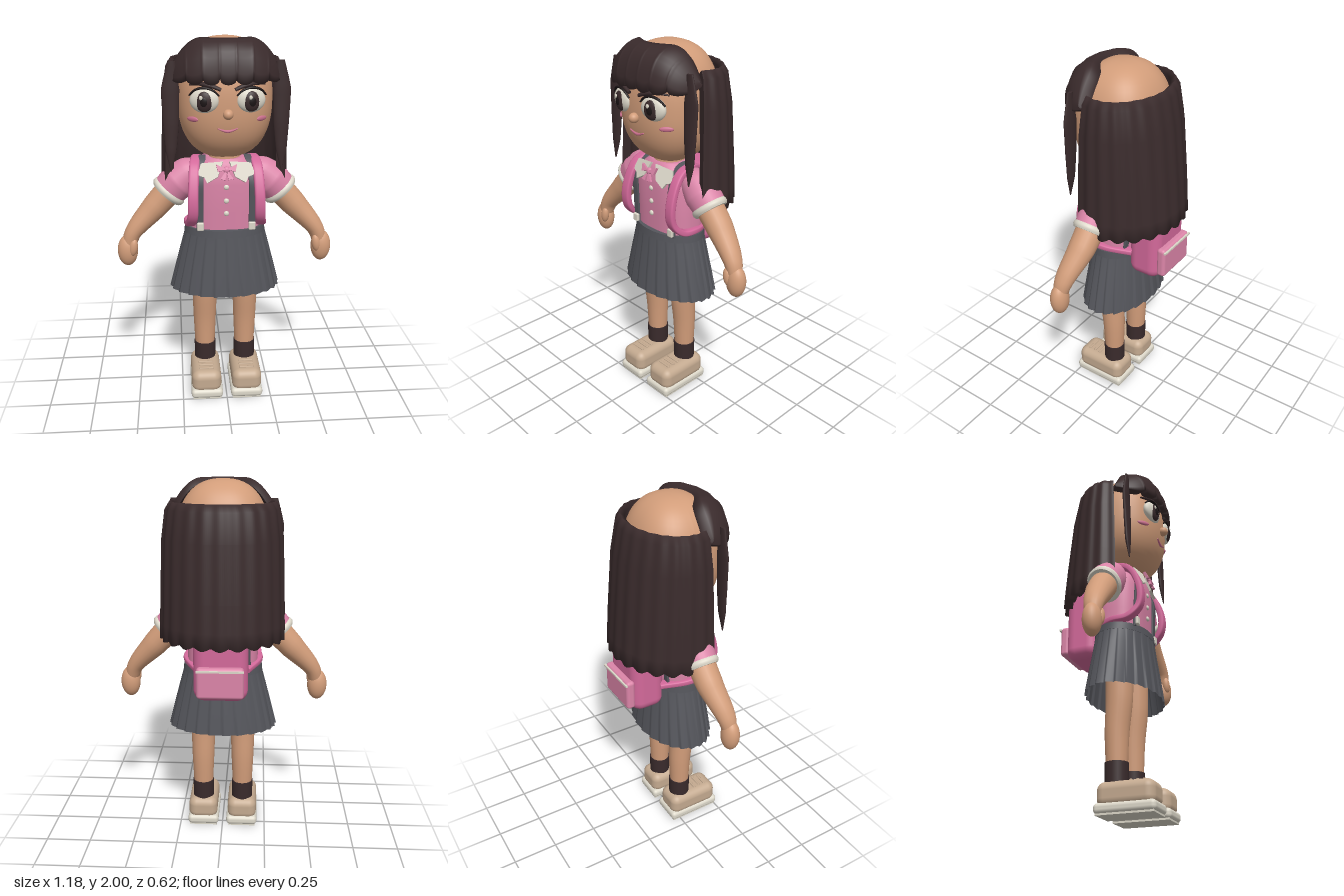
import * as THREE from 'three';
import { RoundedBoxGeometry } from 'three/addons/geometries/RoundedBoxGeometry.js';

const mat = (name, color, side = THREE.FrontSide) => {
  const m = new THREE.MeshStandardMaterial({ color, side });
  m.name = name;
  return m;
};
const lerp = THREE.MathUtils.lerp;
const spow = (v, p) => Math.sign(v) * Math.abs(v) ** p;

// Skin a list of closed rings; caps are separate so their edges stay sharp
function loft(rings, caps = true) {
  const n = rings[0].length, pos = rings.flat(2), idx = [];
  for (let i = 0; i < rings.length - 1; i++) for (let j = 0; j < n; j++) {
    const a = i * n + j, b = i * n + (j + 1) % n;
    idx.push(a, b, a + n, b, b + n, a + n);
  }
  if (caps) [rings[0], rings[rings.length - 1]].forEach((r, k) => {
    const o = pos.length / 3;
    pos.push(...r.flat(), ...[0, 1, 2].map(c => r.reduce((s, p) => s + p[c], 0) / n));
    for (let j = 0; j < n; j++) {
      const q = (j + 1) % n;
      idx.push(o + n, o + (k ? j : q), o + (k ? q : j));
    }
  });
  // turn the faces outwards
  const P = i => new THREE.Vector3().fromArray(pos, i * 3);
  let vol = 0;
  const mid = P(0).lerp(P(rings.length * n - 1), 0.5);
  for (let i = 0; i < idx.length; i += 3)
    vol += P(idx[i]).sub(mid).dot(P(idx[i + 1]).sub(mid).cross(P(idx[i + 2]).sub(mid)));
  if (vol < 0) idx.reverse();
  const g = new THREE.BufferGeometry();
  g.setAttribute('position', new THREE.Float32BufferAttribute(pos, 3));
  g.setIndex(idx);
  g.computeVertexNormals();
  return g;
}

// Sweep an oval (or boxy, with higher e) section along a curve; sizes are half width and half depth
function sweep(pts, sizes, { ref = [1, 0, 0], seg = 24, n = 20, e = 2 } = {}) {
  const curve = new THREE.CatmullRomCurve3(pts.map(p => new THREE.Vector3(...p)));
  const rings = [];
  for (let i = 0; i <= seg; i++) {
    const t = i / seg, f = t * (sizes.length - 1), k = Math.min(Math.floor(f), sizes.length - 2);
    const [w, d] = [0, 1].map(c => sizes.length < 2 ? sizes[0][c] : lerp(sizes[k][c], sizes[k + 1][c], f - k));
    const p = curve.getPoint(t), T = curve.getTangent(t), S = new THREE.Vector3(...ref);
    S.addScaledVector(T, -S.dot(T)).normalize();
    const N = T.clone().cross(S);
    rings.push(Array.from({ length: n }, (_, j) => {
      const a = j / n * Math.PI * 2;
      return p.clone().addScaledVector(S, w * spow(Math.cos(a), 2 / e)).addScaledVector(N, d * spow(Math.sin(a), 2 / e)).toArray();
    }));
  }
  return loft(rings);
}

// Head: a slightly squared ellipsoid
const HEAD = { y: 1.69, z: 0.04, rx: 0.245, ry: 0.31, rz: 0.23, e: 2.4 };
const headZ = (x, y) => HEAD.z + HEAD.rz *
  Math.max(0, 1 - Math.abs(x / HEAD.rx) ** HEAD.e - Math.abs((y - HEAD.y) / HEAD.ry) ** HEAD.e) ** (1 / HEAD.e);
function headGeometry() {
  const g = new THREE.SphereGeometry(1, 48, 36), p = g.attributes.position;
  for (let i = 0; i < p.count; i++) {
    const v = [p.getX(i), p.getY(i), p.getZ(i)];
    const k = v.reduce((s, c) => s + Math.abs(c) ** HEAD.e, 0) ** (-1 / HEAD.e);
    p.setXYZ(i, v[0] * k * HEAD.rx, v[1] * k * HEAD.ry + HEAD.y, v[2] * k * HEAD.rz + HEAD.z);
  }
  g.computeVertexNormals();
  return g;
}

// Fringe: curved sections from one temple to the other, with a toothed lower edge
function fringeGeometry() {
  const rings = [], N = 98, V = 8;
  for (let i = 0; i <= N; i++) {
    const u = i / N * 2 - 1, m = Math.abs(u), x = 0.285 * u;
    const topY = 2 - 0.16 * Math.max(0, (m - 0.4) / 0.6) ** 2;
    const topZ = 0.17 - 0.07 * Math.sin(Math.min(1, m / 0.75) * Math.PI / 2) ** 2;
    const lowZ = 0.1 + 0.195 * (1 - m ** 3) ** 0.6;
    const lowY = 1.79 + 0.03 * (1 - Math.abs(Math.cos(u * Math.PI * 3.5)) ** 0.4);
    const bez = (a, b, c, t) => a * (1 - t) ** 2 + 2 * b * t * (1 - t) + c * t * t;
    const outer = [], inner = [];
    for (let j = 0; j <= V; j++) {
      const t = j / V, y = bez(topY, topY - 0.01, lowY, t), z = bez(topZ, lowZ - 0.01, lowZ, t);
      outer.push([x, y, z]);
      inner.unshift([x * 0.92, y - 0.03 * (1 - t), z - 0.04]);
    }
    rings.push([...outer, ...inner]);
  }
  return loft(rings);
}

// Long hair: a wavy horseshoe wall with a scalloped hem
function backHairGeometry() {
  const profile = [[1.89, 0.275, 0.195], [1.85, 0.3, 0.22], [1.7, 0.32, 0.25], [1.4, 0.332, 0.28], [1.25, 0.338, 0.292], [1.16, 0.34, 0.298]];
  const rings = [], N = 120, A = 1.95;
  for (let i = 0; i <= N; i++) {
    const a = (i / N * 2 - 1) * A, hem = 0.018 * (1 - Math.abs(Math.cos(i / N * Math.PI * 14)));
    const at = ([y, rx, rz], k, low) => [rx * k * Math.sin(a), y + low, -rz * k * Math.cos(a)];
    const outer = profile.map((p, j) => at(p, 1 + 0.012 * Math.cos(i / N * Math.PI * 28), j === 5 ? hem : 0));
    const inner = [[1.16, 0.3, 0.25], [1.5, 0.285, 0.22], [1.87, 0.25, 0.17]].map((p, j) => at(p, 1, j ? 0 : hem));
    rings.push([...outer, ...inner]);
  }
  return loft(rings);
}

// Stacked squared ovals: [y, rx, rz]
const stack = (rows, e, n = 48) => loft(rows.map(([y, rx, rz]) => Array.from({ length: n }, (_, j) => {
  const a = j / n * Math.PI * 2;
  return [rx * spow(Math.cos(a), 2 / e), y, 0.04 + rz * spow(Math.sin(a), 2 / e)];
})));

// Pleated skirt, open below; folds deepen towards the hem
function skirtGeometry() {
  const rows = [[1.0, 0.215, 0.15], [0.96, 0.22, 0.155], [0.88, 0.24, 0.163], [0.75, 0.272, 0.18], [0.63, 0.3, 0.193]];
  const n = 192;
  return loft(rows.map(([y, rx, rz], i) => Array.from({ length: n }, (_, j) => {
    const a = j / n * Math.PI * 2, saw = (j % 8) / 7 - 0.5, k = 1 + 0.013 * i * saw;
    return [rx * k * Math.cos(a), y, 0.04 + rz * k * Math.sin(a)];
  })), false);
}

export function createModel() {
  const root = new THREE.Group();
  const skin = mat('skin', 0xd29d7a), hair = mat('dark brown hair', 0x3a2b2c), shirt = mat('shirt pink', 0xdb85a8);
  const bag = mat('bag pink', 0xd3699a), grey = mat('skirt grey', 0x55565c, THREE.DoubleSide), cream = mat('cream', 0xddd8ca);
  const shoe = mat('shoe beige', 0xc4aa90), black = mat('pupil black', 0x1c1516), lip = mat('lip pink', 0xc96f8c);
  const add = (name, geo, m, p = [0, 0, 0], parent = root) => {
    const o = new THREE.Mesh(geo, m);
    o.name = name;
    o.position.set(...p);
    parent.add(o);
    return o;
  };
  const ball = (name, m, p, r, parent) => {
    const o = add(name, new THREE.SphereGeometry(1, 28, 20), m, p, parent);
    o.scale.set(...r);
    return o;
  };
  const plate = (pts, depth) => new THREE.ExtrudeGeometry(new THREE.Shape(pts.map(p => new THREE.Vector2(...p))), { depth, bevelEnabled: false });

  // Head and hair
  add('head', headGeometry(), skin);
  add('neck', new THREE.CylinderGeometry(0.08, 0.09, 0.14, 24), skin, [0, 1.38, 0.04]);
  add('fringe', fringeGeometry(), hair);
  add('backHair', backHairGeometry(), hair);
  ball('nose', skin, [0, 1.645, 0.28], [0.026, 0.026, 0.028]);
  add('mouth', sweep([-0.05, -0.025, 0, 0.025, 0.05].map((x, i) => {
    const y = [1.572, 1.562, 1.557, 1.562, 1.572][i];
    return [x, y, headZ(x, y) + 0.004];
  }), [[0.003, 0.004], [0.008, 0.007], [0.003, 0.004]], { ref: [0, 1, 0], n: 10 }), lip);

  // Body and clothes
  add('shirtBody', stack([[0.96, 0.195, 0.125], [1.1, 0.195, 0.13], [1.25, 0.195, 0.135], [1.32, 0.175, 0.125], [1.36, 0.13, 0.11], [1.38, 0.1, 0.09]], 2.6), shirt);
  add('skirt', skirtGeometry(), grey);
  add('waistband', stack([[0.96, 0.222, 0.157], [1.0, 0.218, 0.153]], 2), grey);
  [1.24, 1.165, 1.095].forEach(y => ball('button', cream, [0, y, 0.174], [0.014, 0.014, 0.009]));

  // Ribbon between the collar flaps
  const ribbon = new THREE.Group();
  ribbon.name = 'neckRibbon';
  ribbon.position.set(0, 1.335, 0.175);
  ribbon.rotation.x = -0.4;
  root.add(ribbon);
  ball('ribbonKnot', shirt, [0, 0, 0.012], [0.018, 0.018, 0.012], ribbon);

  // Backpack
  add('backpackBody', new RoundedBoxGeometry(0.29, 0.46, 0.19, 5, 0.06), bag, [0, 1.095, -0.17]);
  add('backpackPocket', new RoundedBoxGeometry(0.25, 0.17, 0.05, 4, 0.018), shirt, [0, 0.985, -0.275]);
  add('pocketZip', new THREE.BoxGeometry(0.25, 0.01, 0.012), cream, [0, 1.055, -0.302]);

  for (const s of [1, -1]) {
    const m = pts => pts.map(([x, y, z]) => [x * s, y, z]);
    // Side lock
    add('sideLock', sweep(m([[0.27, 1.89, 0.16], [0.28, 1.75, 0.16], [0.28, 1.58, 0.165], [0.283, 1.44, 0.17], [0.285, 1.335, 0.178]]),
      [[0.02, 0.008], [0.046, 0.014], [0.04, 0.015], [0.028, 0.013], [0.003, 0.003]]), hair);

    // Eye
    const eye = new THREE.Group();
    eye.name = 'eye';
    eye.position.set(s * 0.115, 1.71, 0.25);
    eye.rotation.y = s * 0.2;
    root.add(eye);
    ball('eyeWhite', cream, [0, 0, 0], [0.073, 0.061, 0.032], eye);
    ball('iris', hair, [-s * 0.002, -0.003, 0.016], [0.044, 0.051, 0.02], eye);
    ball('pupil', black, [-s * 0.002, -0.003, 0.024], [0.026, 0.032, 0.014], eye);
    ball('eyeHighlight', cream, [-0.012, 0.018, 0.034], [0.009, 0.011, 0.005], eye);
    add('upperLash', sweep([[-0.074, 0.025, 0.006], [-0.045, 0.052, 0.014], [0, 0.064, 0.016], [0.045, 0.052, 0.014], [0.074, 0.025, 0.006]],
      [[0.004, 0.006], [0.007, 0.009], [0.004, 0.006]], { ref: [0, 1, 0], n: 10 }), black, [0, 0, 0], eye);
    add('eyebrow', sweep([[0.035, 1.765], [0.08, 1.782], [0.13, 1.79], [0.185, 1.782]].map(([x, y]) => [s * x, y, headZ(x, y) + 0.008]),
      [[0.009, 0.01], [0.012, 0.012], [0.004, 0.006]], { ref: [0, 1, 0], n: 10 }), hair);
    const cheek = ball('cheek', lip, [s * 0.172, 1.613, headZ(0.172, 1.613) + 0.002], [0.036, 0.013, 0.008]);
    cheek.rotation.y = s * 0.75;

    // Collar flap and ribbon loop
    const flap = add('collarFlap', plate([[0.015, 0.045], [0.13, 0.04], [0.15, -0.02], [0.115, -0.035], [0.1, -0.065], [0.045, -0.035]].map(([x, y]) => [x * s, y]), 0.014),
      cream, [0, 1.33, 0.165]);
    flap.rotation.set(-0.4, s * 0.15, 0);
    add('ribbonLoop', plate([[0, 0], [0.055, 0.028], [0.045, -0.012]].map(([x, y]) => [x * s, y]), 0.016), shirt, [0, 0, 0.006], ribbon);
    add('ribbonTail', plate([[0, 0], [0.035, -0.05], [0.008, -0.055]].map(([x, y]) => [x * s, y]), 0.014), shirt, [0, 0, 0.004], ribbon);

    // Braces and clips
    add('brace', sweep(m([[0.14, 0.99, 0.152], [0.14, 1.15, 0.158], [0.138, 1.27, 0.158], [0.125, 1.36, 0.1], [0.12, 1.375, 0.03], [0.125, 1.3, -0.07], [0.14, 1.0, -0.065]]),
      [[0.019, 0.007], [0.019, 0.007]], { e: 6, seg: 40 }), grey);
    add('braceClip', new RoundedBoxGeometry(0.036, 0.045, 0.02, 2, 0.006), cream, [s * 0.138, 1.02, 0.165]);

    // Backpack strap
    add('backpackStrap', sweep(m([[0.12, 1.3, -0.09], [0.15, 1.365, 0.02], [0.165, 1.34, 0.125], [0.175, 1.2, 0.195], [0.178, 1.09, 0.19], [0.19, 1.03, 0.13], [0.195, 1.02, 0.04], [0.13, 1.0, -0.1]]),
      [[0.026, 0.016], [0.028, 0.018], [0.026, 0.016]], { e: 4, seg: 48 }), bag);

    // Arm
    add('sleeve', sweep(m([[0.13, 1.32, 0.04], [0.19, 1.29, 0.04], [0.25, 1.24, 0.04], [0.3, 1.19, 0.04]]),
      [[0.05, 0.06], [0.085, 0.08], [0.1, 0.095], [0.094, 0.086]], { ref: [0, 1, 0], n: 28 }), shirt);
    add('cuff', sweep(m([[0.288, 1.2, 0.04], [0.297, 1.19, 0.04], [0.306, 1.18, 0.04], [0.315, 1.17, 0.04]]),
      [[0.093, 0.085], [0.102, 0.093], [0.102, 0.093], [0.093, 0.085]], { ref: [0, 1, 0], n: 28, seg: 6 }), cream);
    add('arm', sweep(m([[0.27, 1.22, 0.04], [0.38, 1.1, 0.045], [0.5, 0.965, 0.07], [0.525, 0.9, 0.078]]),
      [[0.077, 0.077], [0.072, 0.07], [0.052, 0.046], [0.04, 0.04]], { ref: [0, 0, 1] }), skin);
    ball('hand', skin, [s * 0.535, 0.862, 0.078], [0.055, 0.088, 0.048]);
    const thumb = ball('thumb', skin, [s * 0.502, 0.888, 0.108], [0.024, 0.05, 0.022]);
    thumb.rotation.z = s * 0.15;

    // Leg, sock and shoe
    add('leg', sweep(m([[0.112, 0.8, 0.05], [0.114, 0.6, 0.05], [0.115, 0.42, 0.038], [0.115, 0.24, 0.037]]),
      [[0.075, 0.075], [0.07, 0.071], [0.064, 0.063], [0.056, 0.055]]), skin);
    add('sock', new THREE.CylinderGeometry(0.061, 0.06, 0.12, 28), hair, [s * 0.115, 0.205, 0.037]);
    add('shoeUpper', new RoundedBoxGeometry(0.168, 0.13, 0.304, 5, 0.045), shoe, [s * 0.115, 0.1, 0.104]);
    add('shoeSole', new RoundedBoxGeometry(0.18, 0.054, 0.322, 4, 0.022), cream, [s * 0.113, 0.033, 0.104]);
    add('soleBase', new THREE.BoxGeometry(0.16, 0.012, 0.3), cream, [s * 0.113, 0.006, 0.104]);
    [0.125, 0.16, 0.195].forEach(z => add('lace', new RoundedBoxGeometry(0.085, 0.01, 0.014, 2, 0.004), shoe, [s * 0.115, 0.166, z]));
  }
  return root;
}
